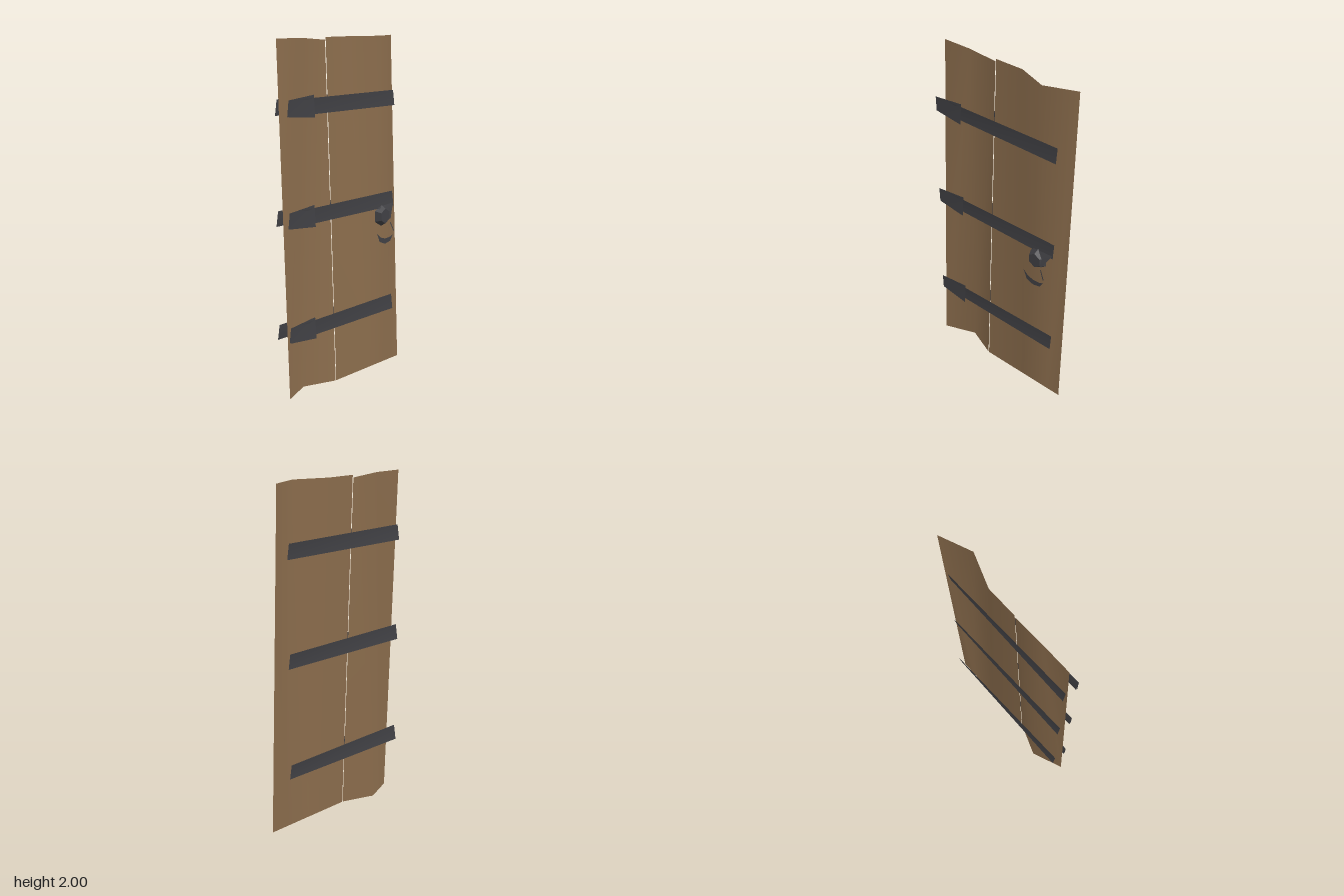
import * as THREE from 'three';

const wood = new THREE.MeshStandardMaterial({ color: 0x8a6c4c, side: THREE.DoubleSide });
const iron = new THREE.MeshStandardMaterial({ color: 0x404044, side: THREE.DoubleSide });

// Thin sheet spanned between a top edge and a bottom edge with equal point counts
function sheet(name, top, bottom, material) {
  const index = [];
  const n = top.length;
  for (let i = 0; i < n - 1; i++) {
    index.push(n + i, n + i + 1, i + 1, n + i, i + 1, i);
  }
  const geometry = new THREE.BufferGeometry();
  geometry.setAttribute('position', new THREE.Float32BufferAttribute([...top, ...bottom].flat(), 3));
  geometry.setIndex(index);
  geometry.computeVertexNormals();
  const mesh = new THREE.Mesh(geometry, material);
  mesh.name = name;
  return mesh;
}

export function createModel() {
  const door = new THREE.Group();
  door.name = 'door';
  const front = 0.02, back = -0.055;

  // Two warped plank panels with a narrow gap between them
  door.add(sheet('narrowPanel',
    [[-0.485, 2, back], [-0.295, 2, back], [-0.1, 1.985, back]],
    [[-0.485, 0, front], [-0.295, 0, back], [-0.1, 0, front]], wood));
  door.add(sheet('widePanel',
    [[-0.095, 2, back], [0.095, 2, back], [0.295, 2, front], [0.485, 2, back]],
    [[-0.095, 0, front], [0.2, 0, front], [0.39, 0, front], [0.485, 0, front]], wood));

  // Iron straps on both faces, with a flared hinge plate at the front
  for (const y of [0.375, 1.025, 1.635]) {
    const h = 0.045;
    const strap = new THREE.Group();
    strap.name = 'strap';
    strap.add(sheet('frontStrap',
      [[-0.485, y + h, 0.033], [0.415, y + h, 0.022]],
      [[-0.485, y - h, 0.022], [0.415, y - h, 0.033]], iron));
    strap.add(sheet('backStrap',
      [[0.415, y + h, -0.07], [-0.485, y + h, -0.056]],
      [[0.415, y - h, -0.056], [-0.485, y - h, -0.07]], iron));
    strap.add(sheet('hingePlate',
      [[-0.485, y + h, 0.034], [-0.285, y + 0.062, 0.03]],
      [[-0.485, y - h, 0.03], [-0.285, y - 0.062, 0.039]], iron));
    door.add(strap);
  }

  // Faceted handle boss
  const bossGeometry = new THREE.CylinderGeometry(0.045, 0.065, 0.035, 6).toNonIndexed();
  bossGeometry.rotateX(Math.PI / 2);
  bossGeometry.computeVertexNormals();
  const boss = new THREE.Mesh(bossGeometry, iron);
  boss.name = 'handleBoss';
  boss.position.set(0.305, 0.935, 0.0435);
  door.add(boss);

  // Wedge joining the boss to the middle strap
  door.add(sheet('handleWedge',
    [[0.27, 0.99, 0.033], [0.412, 1.0, 0.033]],
    [[0.3, 0.935, 0.061], [0.355, 0.91, 0.06]], iron));

  // Lower arc of the pull ring
  const arc = new THREE.Shape();
  arc.moveTo(0.225, 0.84);
  for (const [x, y] of [[0.25, 0.785], [0.3, 0.765], [0.35, 0.775], [0.375, 0.81],
    [0.345, 0.8], [0.3, 0.798], [0.26, 0.81]]) arc.lineTo(x, y);
  const ring = new THREE.Mesh(new THREE.ShapeGeometry(arc), iron);
  ring.name = 'pullRing';
  ring.position.z = 0.062;
  door.add(ring);

  // Slim link from boss to ring
  door.add(sheet('ringLink',
    [[0.348, 0.89, 0.06], [0.356, 0.89, 0.06]],
    [[0.375, 0.835, 0.066], [0.383, 0.835, 0.066]], iron));

  return door;
}
